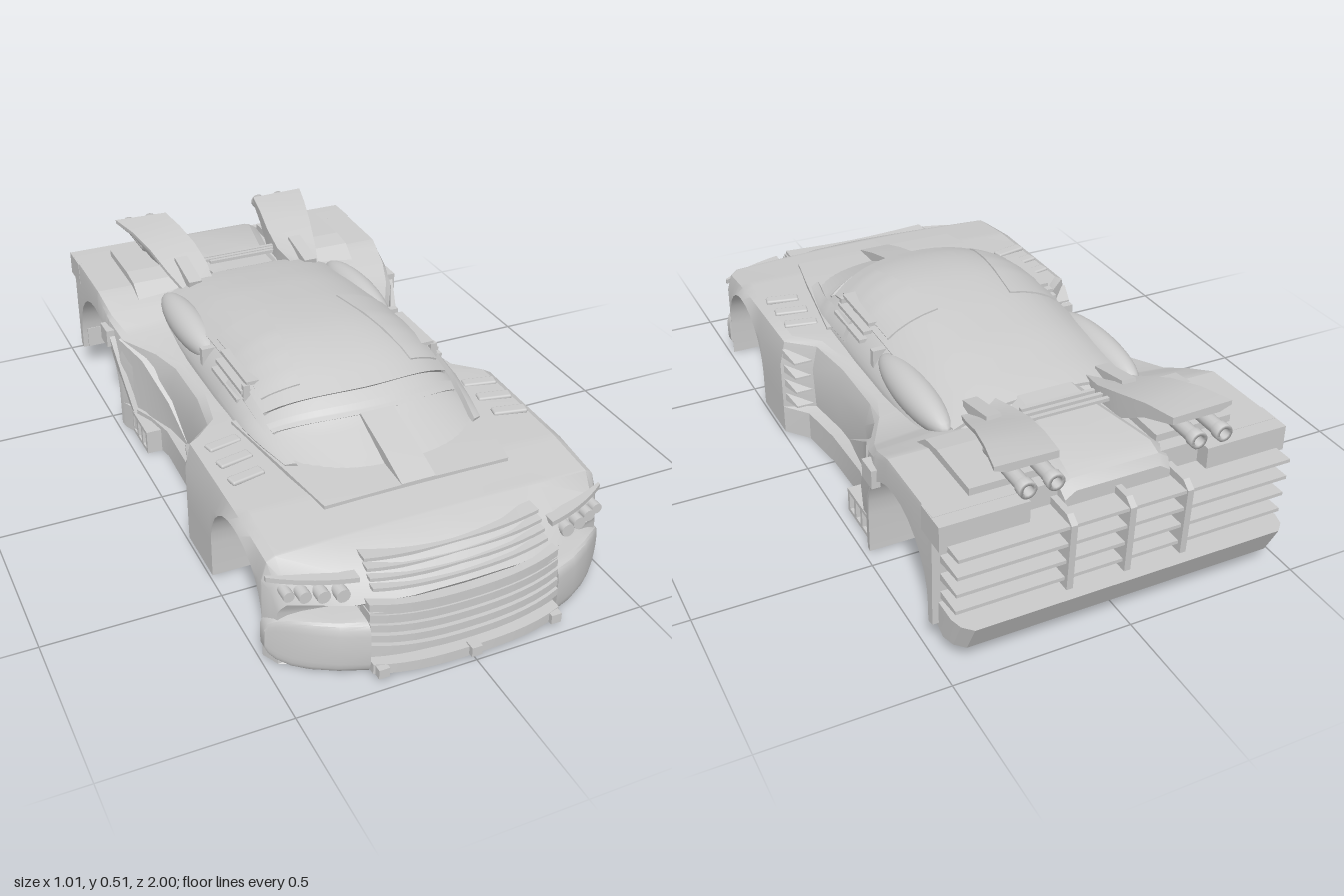
import * as THREE from 'three';
import { toCreasedNormals } from 'three/addons/utils/BufferGeometryUtils.js';
import { RoundedBoxGeometry } from 'three/addons/geometries/RoundedBoxGeometry.js';

const { lerp, clamp } = THREE.MathUtils;
const material = new THREE.MeshStandardMaterial({ color: 0xcccccc });

// Linear interpolation in rows of [z, ...values], z falling
function sample(rows, z) {
  let i = 0;
  while (i < rows.length - 2 && z < rows[i + 1][0]) i++;
  const t = clamp((z - rows[i][0]) / (rows[i + 1][0] - rows[i][0]), 0, 1);
  return rows[i].map((v, k) => lerp(v, rows[i + 1][k], t));
}

function crease(geo) {
  geo.scale(100, 100, 100);
  return toCreasedNormals(geo, 0.5).scale(0.01, 0.01, 0.01);
}

// Closed rings of [x, y, z] joined into a capped solid, wound outwards
function loft(rings) {
  const n = rings[0].length, m = rings.length, pts = rings.flat(), tris = [];
  for (let i = 0; i < m - 1; i++) for (let j = 0; j < n; j++) {
    const a = i * n + j, b = i * n + (j + 1) % n;
    tris.push([a, b, b + n], [a, b + n, a + n]);
  }
  [0, m - 1].forEach((r, side) => {
    const c = pts.push([0, 1, 2].map(k => rings[r].reduce((s, p) => s + p[k], 0) / n)) - 1;
    for (let j = 0; j < n; j++) {
      const a = r * n + j, b = r * n + (j + 1) % n;
      tris.push(side ? [a, b, c] : [b, a, c]);
    }
  });
  const v = pts.map(p => new THREE.Vector3(...p));
  const volume = tris.reduce((s, [a, b, c]) => s + v[a].dot(v[b].clone().cross(v[c])), 0);
  if (volume < 0) tris.forEach(t => t.reverse());
  const geo = new THREE.BufferGeometry().setFromPoints(v);
  geo.setIndex(tris.flat());
  return crease(geo);
}

// Sweeps the nose back towards the corners
const nose = ([x, y, z]) => [x, y, z - 1.5 * Math.abs(x) ** 3 * clamp((z - 0.76) / 0.21, 0, 1.1)];

// Moves every vertex of a geometry by a rule
function warp(geo, rule) {
  const p = geo.attributes.position;
  for (let i = 0; i < p.count; i++) p.setXYZ(i, ...rule([p.getX(i), p.getY(i), p.getZ(i)]));
  return crease(geo);
}

const box = (w, h, d, x, y, z) => new THREE.BoxGeometry(w, h, d).translate(x, y, z);
const bowBox = (w, h, d, y, z, sag) => warp(new THREE.BoxGeometry(w, h, d, 14, 1, 1).translate(0, y, z),
  ([x, py, pz]) => nose([x, py + sag * (2 * x / w) ** 2, pz]));

// Side outline of [z, y] points, extruded across x
function acrossX(points, x0, x1) {
  const shape = new THREE.Shape(points.map(([z, y]) => new THREE.Vector2(-z, y)));
  return new THREE.ExtrudeGeometry(shape, { depth: x1 - x0, bevelEnabled: false }).rotateY(Math.PI / 2).translate(x0, 0, 0);
}

// Hull: z, half width, shoulder half width, shoulder y, centre y, floor y, door inset
const HULL = [
  [0.93, 0.465, 0.445, 0.195, 0.205, 0, 0], [0.87, 0.475, 0.445, 0.255, 0.27, 0, 0], [0.77, 0.487, 0.45, 0.305, 0.315, 0, 0],
  [0.6, 0.492, 0.45, 0.325, 0.332, 0, 0], [0.22, 0.492, 0.45, 0.33, 0.34, 0, 0], [0.15, 0.435, 0.38, 0.33, 0.34, 0, 0.025],
  [0, 0.415, 0.35, 0.325, 0.34, 0, 0.025], [-0.2, 0.41, 0.35, 0.32, 0.34, 0, 0.025], [-0.3, 0.43, 0.385, 0.325, 0.35, 0, 0.02],
  [-0.42, 0.48, 0.45, 0.33, 0.36, 0, 0], [-0.5, 0.492, 0.475, 0.365, 0.39, 0.012, 0], [-0.6, 0.492, 0.487, 0.405, 0.405, 0.03, 0],
  [-0.87, 0.492, 0.489, 0.41, 0.41, 0.085, 0]];
const ARCHES = [[0.585, 0.175, 0.11], [-0.645, 0.2, 0.13]]; // centre z, radius, centre y

function hull() {
  const zs = HULL.map(r => r[0]);
  for (const [c, r] of ARCHES) {
    zs.push(c + r + 0.001, c - r - 0.001);
    for (let i = 0; i <= 14; i++) zs.push(c + r * Math.cos(Math.PI * i / 14));
  }
  zs.sort((a, b) => b - a);
  return loft(zs.map(z => {
    const [, w, ws, ys, yc, f, inset] = sample(HULL, z);
    let b = f;
    for (const [c, r, cy] of ARCHES) if (Math.abs(z - c) < r + 1e-6) b = cy + Math.sqrt(Math.max(0, r * r - (z - c) ** 2));
    const half = [[0.15, f], [0.27, f], [0.27, b], [w, b], [w, Math.max(0.09, b)], [w - inset, Math.max(0.11, b)],
      [w - inset * 0.8, Math.max(Math.min(0.24, ys - 0.03), b)], [lerp(w - inset, ws, 0.4), ys - 0.015], [ws, ys],
      [0.3, lerp(ys, yc, 0.5)], [0.15, lerp(ys, yc, 0.9)]];
    return [[0, f], ...half, [0, yc], ...half.map(([x, y]) => [-x, y]).reverse()].map(([x, y]) => nose([x, y, z]));
  }));
}

// Rounded outer corner of the bumper: x, inset of the section
function bumperLobe() {
  const rows = [[0.27, 0], [0.34, 0], [0.4, 0], [0.44, 0.004], [0.47, 0.016], [0.485, 0.03], [0.493, 0.048]];
  return loft(rows.map(([x, d]) => {
    const ring = [[x, d, 0.765], [x, 0.157 - d, 0.765]];
    for (let i = 0; i <= 10; i++) {
      const a = Math.PI * (0.5 - i / 10), c = Math.cos(a), s = Math.sin(a);
      ring.push([x, 0.0785 + Math.sign(s) * (0.0785 - d) * Math.abs(s) ** 0.5, 0.92 + 0.05 * Math.abs(c) ** 0.6]);
    }
    return ring.map(nose);
  }));
}

// Cabin: z, half width, roof y
const CABIN = [[0.58, 0.28, 0.335], [0.45, 0.315, 0.388], [0.4, 0.325, 0.41], [0.36, 0.332, 0.445], [0.25, 0.335, 0.48],
  [0.15, 0.335, 0.497], [0.05, 0.335, 0.502], [-0.1, 0.333, 0.493], [-0.3, 0.33, 0.47], [-0.5, 0.322, 0.433], [-0.56, 0.315, 0.415]];
function cabinPoint(u, z, off) {
  const [, w, top] = sample(CABIN, z), x = u * w;
  const y = 0.33 + (top - 0.33) * Math.max(0, 1 - Math.abs(u) ** 2.8) ** 0.68;
  return [x + off * u * 0.6, y + off, z - 0.9 * x * x * clamp(z / 0.35, 0, 1)];
}
function cabin() {
  return loft(CABIN.map(([z, w]) => {
    const bend = 0.9 * w * w * clamp(z / 0.35, 0, 1), ring = [[-w, 0.3, z - bend], [w, 0.3, z - bend]];
    for (let i = 0; i <= 28; i++) ring.push(cabinPoint(Math.cos(Math.PI * i / 28), z, 0));
    return ring;
  }));
}
// Raised plate following the cabin; its inner edge runs from a to b
function skin([a, b], u1, z0, z1, off) {
  const rings = [];
  for (let i = 0; i <= 16; i++) {
    const z = lerp(z0, z1, i / 16), u0 = lerp(a, b, i / 16), ring = [];
    for (let k = 0; k <= 14; k++) ring.push(cabinPoint(lerp(u0, u1, k / 14), z, off));
    for (let k = 14; k >= 0; k--) ring.push(cabinPoint(lerp(u0, u1, k / 14), z, -0.015));
    rings.push(ring);
  }
  return loft(rings);
}

export function createModel() {
  const car = new THREE.Group();
  car.name = 'car';
  const add = (name, geo) => {
    const mesh = new THREE.Mesh(geo, material);
    mesh.name = name;
    car.add(mesh);
    return mesh;
  };
  const pair = (name, geo) => {
    add(name + 'Left', geo);
    add(name + 'Right', geo).scale.x = -1;
  };

  // Body and cabin
  add('hull', hull());
  add('cabin', cabin());
  add('roofShell', skin([-0.84, -0.84], 0.84, 0.355, -0.53, 0.009));
  add('visorLip', skin([-0.86, -0.86], 0.86, 0.415, 0.385, 0.007));
  pair('roofPanel', skin([0.5, 0.34], 0.8, 0.3, -0.1, 0.013));
  pair('windscreenPillar', skin([0.9, 0.9], 0.99, 0.54, 0.12, 0.014));
  add('hoodScoop', loft([[0.66, 0.338], [0.55, 0.375], [0.41, 0.413]].map(([z, y]) =>
    [[-0.05, 0.31, z], [0.05, 0.31, z], [0.05, y, z], [-0.05, y, z]])));
  add('hoodPanel', loft([[0.66, 0.27, 0.337], [0.5, 0.3, 0.346], [0.2, 0.345, 0.346]].map(([z, w, y]) =>
    [[-w, 0.31, z], [w, 0.31, z], [w, y - 0.004, z], [0, y, z], [-w, y - 0.004, z]])));

  // Front end
  pair('bumperLobe', bumperLobe());
  add('grilleBack', bowBox(0.54, 0.17, 0.06, 0.1, 0.92, 0));
  for (let i = 0; i < 5; i++) add('grilleSlat', bowBox(0.54, 0.022, 0.05, 0.065 + i * 0.029, 0.945 - i * 0.005, 0.02));
  add('frontLip', bowBox(0.54, 0.03, 0.06, 0.022, 0.955, 0.008));
  for (const x of [-0.25, 0, 0.25]) add('lipTab', box(0.03, 0.028, 0.03, x, 0.028, 0.985 - 1.5 * Math.abs(x) ** 3));
  for (let i = 0; i < 4; i++) add('hoodVentSlat', bowBox(0.5, 0.01, 0.05, 0.221 + i * 0.018, 0.895 - i * 0.02, 0.014));
  for (const [x, r] of [[0.322, 0.019], [0.367, 0.018], [0.409, 0.017], [0.445, 0.015]]) {
    const [, , z] = nose([x, 0, 0.888]);
    pair('headlight', new THREE.CylinderGeometry(r, r, 0.06, 16).rotateX(Math.PI / 2).translate(x, 0.23, z));
  }
  pair('headlightBrow', warp(new THREE.BoxGeometry(0.21, 0.014, 0.05, 8, 1, 1).translate(0.38, 0.26, 0.876), nose));

  // Louvres on top of and behind the front wings
  for (const z of [0.28, 0.365, 0.45]) pair('wingLouvre', new RoundedBoxGeometry(0.1, 0.014, 0.036, 2, 0.006).rotateY(-0.2).translate(0.4, 0.331, z));
  for (let i = 0; i < 4; i++) {
    const y = 0.115 + i * 0.05;
    pair('sideLouvre', loft([[0.215, 0.485, 0.028], [0.155, 0.468, 0.006]].map(([z, x, h]) =>
      [[0.36, y, z], [x, y, z], [x, y + h, z], [0.36, y + h, z]])));
  }

  // Cabin sides
  pair('sideWindow', new THREE.SphereGeometry(1, 28, 18).scale(0.052, 0.054, 0.215).translate(0.286, 0.382, -0.31));
  pair('windowPillar', box(0.04, 0.08, 0.02, 0.302, 0.375, -0.1));
  for (const [y, x] of [[0.443, 0.268], [0.419, 0.285], [0.395, 0.298]]) pair('sideVent', box(0.05, 0.011, 0.2, x, y, 0.09));
  pair('sideVentFrame', box(0.02, 0.06, 0.016, 0.293, 0.41, 0.185));

  // Doors and rear scoops
  pair('doorScoop', loft([[-0.06, 0.12, 0.388], [-0.2, 0.2, 0.4], [-0.33, 0.29, 0.437], [-0.43, 0.325, 0.478]].map(([z, y, x]) =>
    [[0.34, 0.09, z], [x, 0.09, z], [x, y - 0.01, z], [x - 0.03, y, z], [0.34, y, z]])));
  pair('scoopBlade', loft([[-0.385, 0.08, 0.465], [-0.425, 0.2, 0.485], [-0.49, 0.31, 0.497]].map(([z, y, x]) =>
    [[0.4, y, z + 0.025], [x, y, z + 0.025], [x, y, z - 0.022], [0.4, y, z - 0.022]])));
  pair('scoopTab', box(0.025, 0.055, 0.065, 0.493, 0.302, -0.5));
  pair('sillVent', box(0.06, 0.06, 0.14, 0.415, 0.037, -0.315));
  for (let i = 0; i < 4; i++) pair('sillVentRib', box(0.08, 0.074, 0.014, 0.425, 0.037, -0.247 - i * 0.046));
  for (const y of [0.006, 0.07]) pair('sillVentRail', box(0.08, 0.012, 0.15, 0.425, y, -0.315));

  // Rear deck with tail fins
  add('rearDeck', loft([[-0.52, 0.11, 0.436], [-0.62, 0.115, 0.432], [-0.84, 0.155, 0.43], [-0.88, 0.155, 0.415], [-0.9, 0.15, 0.39]].map(([z, w, y]) =>
    [[-w, 0.35, z], [w, 0.35, z], [w, y - 0.02, z], [w - 0.03, y, z], [0.03 - w, y, z], [-w, y - 0.02, z]])));
  for (let i = 0; i < 3; i++) add('deckLouvre', box(0.22 + i * 0.02, 0.01, 0.012, 0, 0.439 - i * 0.002, -0.59 - i * 0.022));
  pair('rearStep', acrossX([[-0.5, 0.36], [-0.58, 0.42], [-0.65, 0.43], [-0.83, 0.43], [-0.83, 0.36]], 0.15, 0.375));
  // z, inner x, inner y, outer x, outer y, bottom y
  pair('tailFin', loft([[-0.48, 0.14, 0.43, 0.23, 0.4, 0.36], [-0.58, 0.125, 0.447, 0.26, 0.44, 0.38], [-0.68, 0.13, 0.475, 0.285, 0.482, 0.4],
    [-0.78, 0.145, 0.498, 0.31, 0.505, 0.455], [-0.88, 0.16, 0.508, 0.335, 0.512, 0.487]].map(([z, xi, yi, xo, yo, yb]) =>
    [[xi, yb, z], [xo - 0.035, yb, z], [xo, yo - 0.012, z], [xo, yo, z], [xi, yi, z]])));
  pair('finBracket', new THREE.BoxGeometry(0.042, 0.03, 0.14).rotateX(0.2).translate(0.2, 0.436, -0.55));
  for (const x of [0.2, 0.275]) {
    pair('exhaust', new THREE.LatheGeometry([[0, -0.1], [0.02, -0.1], [0.02, 0.07], [0.024, 0.075], [0.024, 0.1], [0.014, 0.1], [0.014, 0.04], [0, 0.04]]
      .map(p => new THREE.Vector2(...p)), 14).rotateX(-Math.PI / 2).translate(x, 0.465, -0.84));
  }
  pair('rearWingBox', box(0.24, 0.072, 0.1, 0.372, 0.373, -0.862));

  // Rear grille and bumper
  for (let i = 0; i < 4; i++) {
    const y = 0.17 + i * 0.055, back = -0.955 - i * 0.005;
    add('rearSlat', acrossX([[-0.85, y - 0.012], [-0.85, y + 0.012], [back, y + 0.014], [back, y + 0.004]], -0.47, 0.47));
  }
  for (const x of [-0.165, 0, 0.165]) {
    add('rearBar', acrossX([[-0.85, 0.13], [-0.85, 0.37], [-0.95, 0.37], [-0.975, 0.35], [-0.965, 0.13]], x - 0.009, x + 0.009));
  }
  add('rearBumper', loft([[-0.475, 0.06], [-0.465, 0.025], [-0.44, 0], [0.44, 0], [0.465, 0.025], [0.475, 0.06]].map(([x, d]) =>
    [[x, 0.082, -0.84], [x, 0.06, -0.955 + d], [x, 0.15, -1 + d], [x, 0.15, -0.84]])));
  return car;
}
